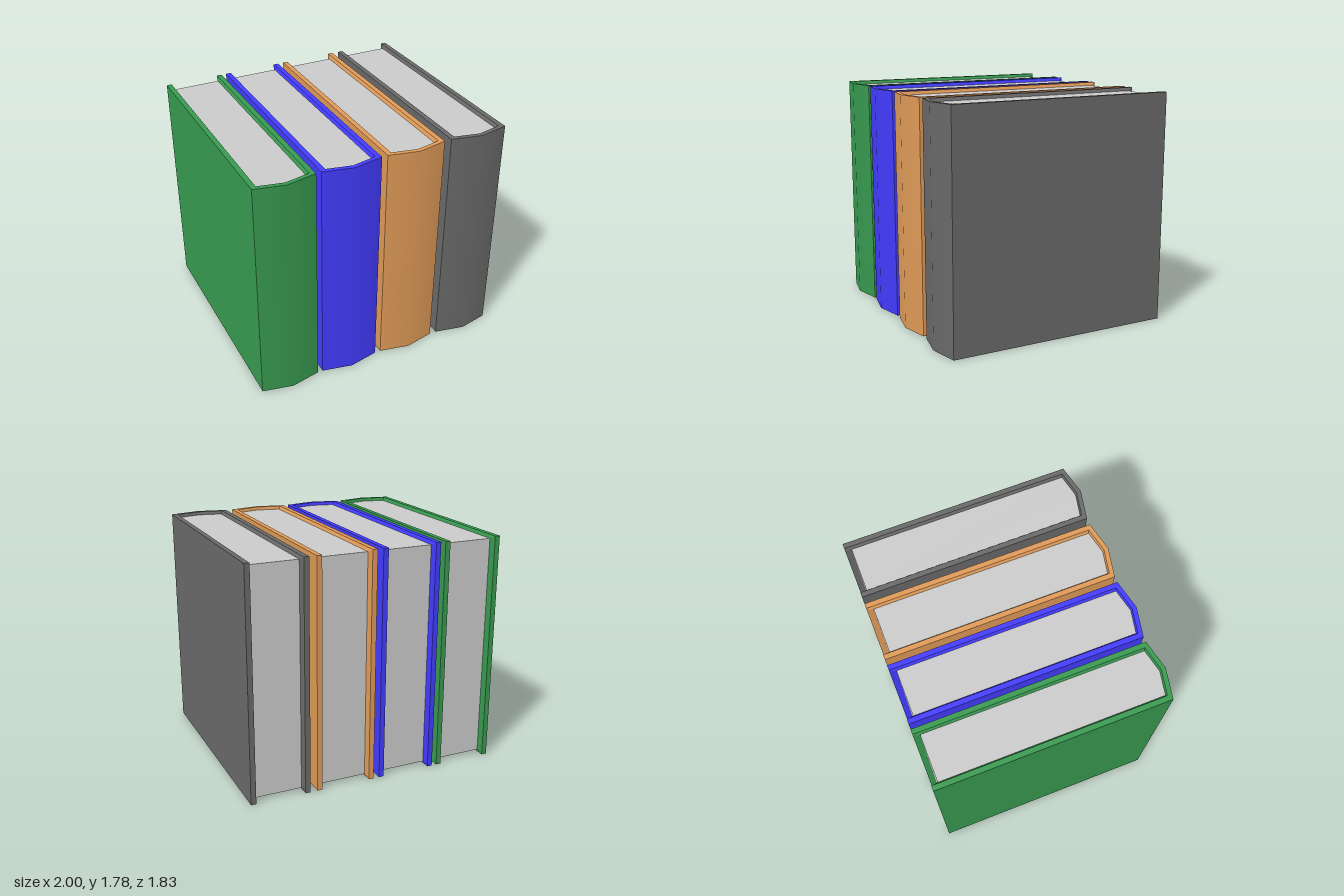
import * as THREE from 'three';
import { mergeGeometries, toCreasedNormals } from 'three/addons/utils/BufferGeometryUtils.js';

const H = 1.785;       // book height
const W = 0.2325;      // half the book width
const BACK = -0.916;   // open edge of the covers
const SHOULDER = 0.867, APEX = 0.916; // spine corner and spine ridge
const BOARD = 0.04, SPINE = 0.035;    // rim thickness
const INSET = 0.013, RECESS = 0.025;  // slope of the rim down to the pages
const PAGE_BACK = -0.867;

// Inside outline of the cover [x, z], shrunk by d, from right to left
function innerOutline(d) {
  const x = W - BOARD - d;
  const apex = APEX - SPINE - d * 0.6;
  const side = apex - x * (APEX - SHOULDER) / W;
  return [[x, PAGE_BACK], [x, side], [0, apex], [-x, side], [-x, PAGE_BACK]];
}

// Closed U-shaped section of the cover
function coverOutline(d) {
  const tip = W - BOARD;
  return [
    [-W, BACK], [-W, SHOULDER], [0, APEX], [W, SHOULDER], [W, BACK],
    [tip, BACK], ...innerOutline(d), [-tip, BACK],
  ];
}

const toShape = (pts, flip) =>
  new THREE.Shape(pts.map(([x, z]) => new THREE.Vector2(x, flip * z)));

function capGeometry(pts, y, up) {
  const g = new THREE.ShapeGeometry(toShape(pts, -up)).toNonIndexed();
  g.rotateX(-up * Math.PI / 2).translate(0, y, 0);
  g.deleteAttribute('uv');
  g.deleteAttribute('normal');
  return g;
}

// Cover: U sections stacked by height, with the rims sloping inwards
function coverGeometry() {
  const levels = [[0, 0], [RECESS, INSET], [H - RECESS, INSET], [H, 0]]
    .map(([y, d]) => coverOutline(d).map(([x, z]) => [x, y, z]));
  const pos = [];
  for (let l = 0; l < levels.length - 1; l++) {
    const lo = levels[l], hi = levels[l + 1], n = lo.length;
    for (let i = 0; i < n; i++) {
      const j = (i + 1) % n;
      pos.push(...lo[i], ...lo[j], ...hi[j], ...lo[i], ...hi[j], ...hi[i]);
    }
  }
  const walls = new THREE.BufferGeometry();
  walls.setAttribute('position', new THREE.Float32BufferAttribute(pos, 3));
  const rim = coverOutline(0);
  return toCreasedNormals(
    mergeGeometries([walls, capGeometry(rim, H, 1), capGeometry(rim, 0, -1)]), 0.45);
}

// Page block filling the cover, set back from its rims
function pagesGeometry() {
  return new THREE.ExtrudeGeometry(toShape(innerOutline(INSET), -1), {
    depth: H - 2 * RECESS, bevelEnabled: false,
  }).rotateX(-Math.PI / 2).translate(0, RECESS, 0);
}

export function createModel() {
  const group = new THREE.Group();
  group.name = 'bookRow';
  const cover = coverGeometry();
  const pages = pagesGeometry();
  const pageMaterial = new THREE.MeshStandardMaterial({ color: 0xcccccc });

  const books = [
    ['greenBook', -0.7675, 0x389a50],
    ['blueBook', -0.264, 0x433cff],
    ['tanBook', 0.247, 0xe09b58],
    ['darkBook', 0.7675, 0x6a6a6a],
  ];
  for (const [name, x, color] of books) {
    const book = new THREE.Group();
    book.name = name;
    book.position.x = x;
    const coverMesh = new THREE.Mesh(cover, new THREE.MeshStandardMaterial({ color }));
    coverMesh.name = 'cover';
    const pageMesh = new THREE.Mesh(pages, pageMaterial);
    pageMesh.name = 'pages';
    book.add(coverMesh, pageMesh);
    group.add(book);
  }
  return group;
}
